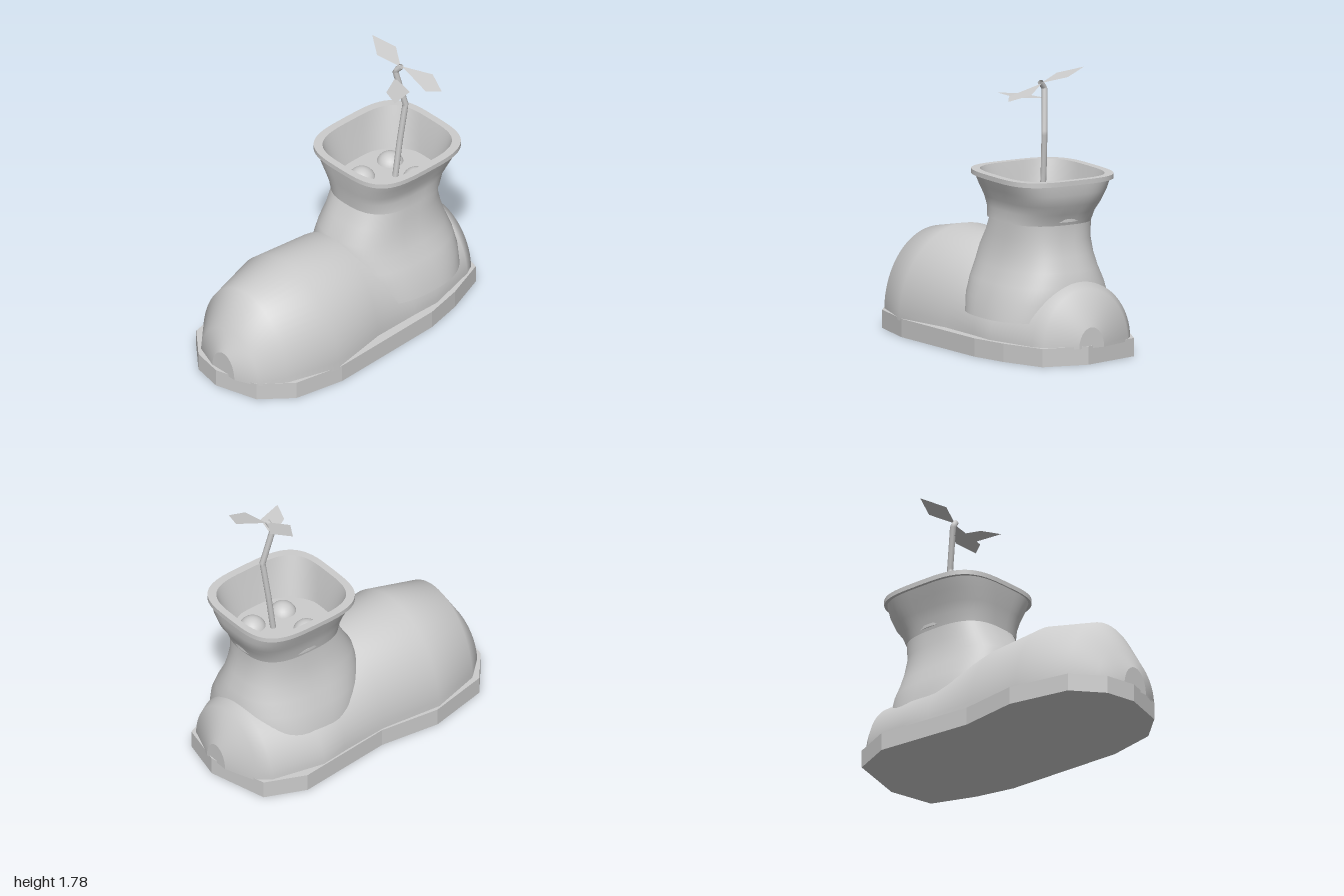
import * as THREE from 'three';

const grey = new THREE.MeshStandardMaterial({ color: 0xcccccc, side: THREE.DoubleSide });
grey.name = 'plain grey';

// Skin between rings of points; closed joins the last point of each ring to its first.
function loft(rings, closed) {
  const n = rings[0].length, index = [];
  for (let i = 0; i < rings.length - 1; i++) {
    for (let j = 0; j < (closed ? n : n - 1); j++) {
      const k = (j + 1) % n, a = i * n, b = a + n;
      index.push(a + j, b + j, a + k, a + k, b + j, b + k);
    }
  }
  const geo = new THREE.BufferGeometry();
  geo.setAttribute('position', new THREE.Float32BufferAttribute(rings.flat(2), 3));
  geo.setIndex(index);
  geo.computeVertexNormals();
  return geo;
}

// Rounded horizontal ring of the shaft; bump pushes the +x side outward.
function shaftRing([y, x0, x1, z0, z1, n, bump = 0]) {
  return Array.from({ length: 64 }, (_, j) => {
    const t = (j / 64) * Math.PI * 2, c = Math.cos(t), s = Math.sin(t);
    const round = (v) => Math.sign(v) * Math.abs(v) ** (2 / n);
    return [
      (x0 + x1) / 2 + ((x1 - x0) / 2) * round(c) + bump * Math.max(0, c) ** 1.5,
      y,
      (z0 + z1) / 2 + ((z1 - z0) / 2) * round(s),
    ];
  });
}

// Half-ellipse arch across the foot.
function footArch([z, x0, x1, top]) {
  const base = 0.1;
  return Array.from({ length: 33 }, (_, j) => {
    const t = (j / 32) * Math.PI;
    return [(x0 + x1) / 2 + ((x1 - x0) / 2) * Math.cos(t), base + (top - base) * Math.sin(t), z];
  });
}

export function createModel() {
  const model = new THREE.Group();
  const add = (name, geo, parent = model) => {
    const mesh = new THREE.Mesh(geo, grey);
    mesh.name = name;
    parent.add(mesh);
    return mesh;
  };

  // Flat angular sole
  const outline = [
    [0, 1], [0.28, 0.92], [0.44, 0.73], [0.5, 0.4], [0.49, 0.2], [0.46, -0.4], [0.4, -0.65],
    [0.29, -0.93], [0, -1], [-0.39, -0.9], [-0.5, -0.64], [-0.43, 0], [-0.48, 0.4],
    [-0.39, 0.8], [-0.2, 0.96],
  ];
  const soleShape = new THREE.Shape(outline.map(([x, z]) => new THREE.Vector2(x, -z)));
  const sole = new THREE.ExtrudeGeometry(soleShape, { depth: 0.115, bevelEnabled: false });
  add('sole', sole.rotateX(-Math.PI / 2));

  // Foot, from toe to heel
  const toe = [0.975, -0.06, 0.14, 0.25], heel = [-0.99, -0.12, 0.06, 0.23];
  const foot = [
    toe, [0.91, -0.23, 0.29, 0.38], [0.77, -0.36, 0.4, 0.6], [0.43, -0.46, 0.5, 0.67],
    [0.02, -0.42, 0.42, 0.64], [-0.3, -0.45, 0.41, 0.52], [-0.49, -0.475, 0.41, 0.48],
    [-0.84, -0.4, 0.31, 0.49], [-0.91, -0.34, 0.27, 0.46], heel,
  ];
  add('foot', loft(foot.map(footArch), false));
  add('toeEnd', loft([[toe[0], 0.03, 0.05, 0.105], toe].map(footArch), false));
  add('heelEnd', loft([heel, [heel[0], -0.04, -0.02, 0.105]].map(footArch), false));

  // Ankle shaft in runs, with sharp edges between runs
  const shaft = new THREE.Group();
  shaft.name = 'shaft';
  model.add(shaft);
  const hem = [0.25, -0.4, 0.44, -0.85, 0, 2.5];
  const waist = [0.84, -0.265, 0.265, -0.76, -0.1, 2.8];
  const fold = [...waist, 0.03];
  const neck = [1.105, -0.355, 0.355, -0.85, -0.055, 3.4];
  const rimLow = [1.105, -0.375, 0.375, -0.86, -0.045, 3.5];
  const rimTop = [1.135, ...rimLow.slice(1)];
  const mouth = [1.135, -0.325, 0.325, -0.815, -0.09, 3.5];
  const runs = {
    shaftUnderside: [[0.25, -0.01, 0.01, -0.44, -0.42, 2], hem],
    ankle: [
      hem, [0.36, -0.385, 0.415, -0.855, 0.03, 2.5], [0.46, -0.355, 0.37, -0.845, 0.045, 2.5],
      [0.55, -0.32, 0.325, -0.815, 0.04, 2.5], [0.64, -0.29, 0.295, -0.785, 0.015, 2.6],
      [0.74, -0.27, 0.275, -0.758, -0.05, 2.7], waist,
    ],
    foldLedge: [waist, fold],
    collar: [
      fold, [0.91, -0.28, 0.28, -0.785, -0.092, 2.9, 0.008], [0.97, -0.3, 0.3, -0.825, -0.08, 3.1],
      [1.04, -0.33, 0.33, -0.845, -0.066, 3.3], neck,
    ],
    rimUnderside: [neck, rimLow],
    rimEdge: [rimLow, rimTop],
    rimFace: [rimTop, mouth],
    lining: [mouth, [1, -0.295, 0.295, -0.785, -0.115, 3], [0.86, -0.26, 0.26, -0.765, -0.135, 2.6]],
  };
  for (const [name, rows] of Object.entries(runs)) add(name, loft(rows.map(shaftRing), true), shaft);

  // Soil disc with four half-buried pebbles
  const soil = add('soil', new THREE.CylinderGeometry(1, 1, 0.02, 48));
  soil.scale.set(0.275, 1, 0.325);
  soil.position.set(0, 0.87, -0.45);
  for (const x of [-0.11, 0.125]) {
    for (const z of [-0.58, -0.34]) {
      const pebble = add('pebble', new THREE.SphereGeometry(0.088, 24, 16));
      pebble.position.set(x, 0.85, z);
    }
  }

  // Crooked stem
  const stem = new THREE.CurvePath();
  const bends = [[0.03, 0.86, -0.49], [0.035, 1.13, -0.525], [0.05, 1.4, -0.56], [0.015, 1.66, -0.505], [0.055, 1.705, -0.52]]
    .map((p) => new THREE.Vector3(...p));
  for (let i = 1; i < bends.length; i++) stem.add(new THREE.LineCurve3(bends[i - 1], bends[i]));
  add('stem', new THREE.TubeGeometry(stem, 40, 0.019, 8, false));

  // Kite-shaped leaves, each lying on a tilted plane
  const high = (x) => 1.712 - 0.276 * x;
  const low = (x, z) => 1.6 + 0.03 * x + 0.07 * (z + 0.5);
  const leaf = (name, corners, height) => {
    const geo = new THREE.BufferGeometry();
    const points = corners.map(([x, z]) => [x, height(x, z), z]);
    geo.setAttribute('position', new THREE.Float32BufferAttribute(points.flat(), 3));
    geo.setIndex([0, 2, 1, 0, 3, 2]);
    geo.computeVertexNormals();
    add(name, geo);
  };
  leaf('leftLeaf', [[0.05, -0.53], [0.28, -0.515], [0.335, -0.6], [0.2, -0.65]].reverse(), high);
  leaf('rightLeaf', [[0.05, -0.52], [-0.09, -0.61], [-0.24, -0.55], [-0.1, -0.46]], high);
  leaf('frontLeaf', [[0.01, -0.51], [0.19, -0.465], [0.23, -0.3], [0.1, -0.35]].reverse(), low);
  return model;
}
